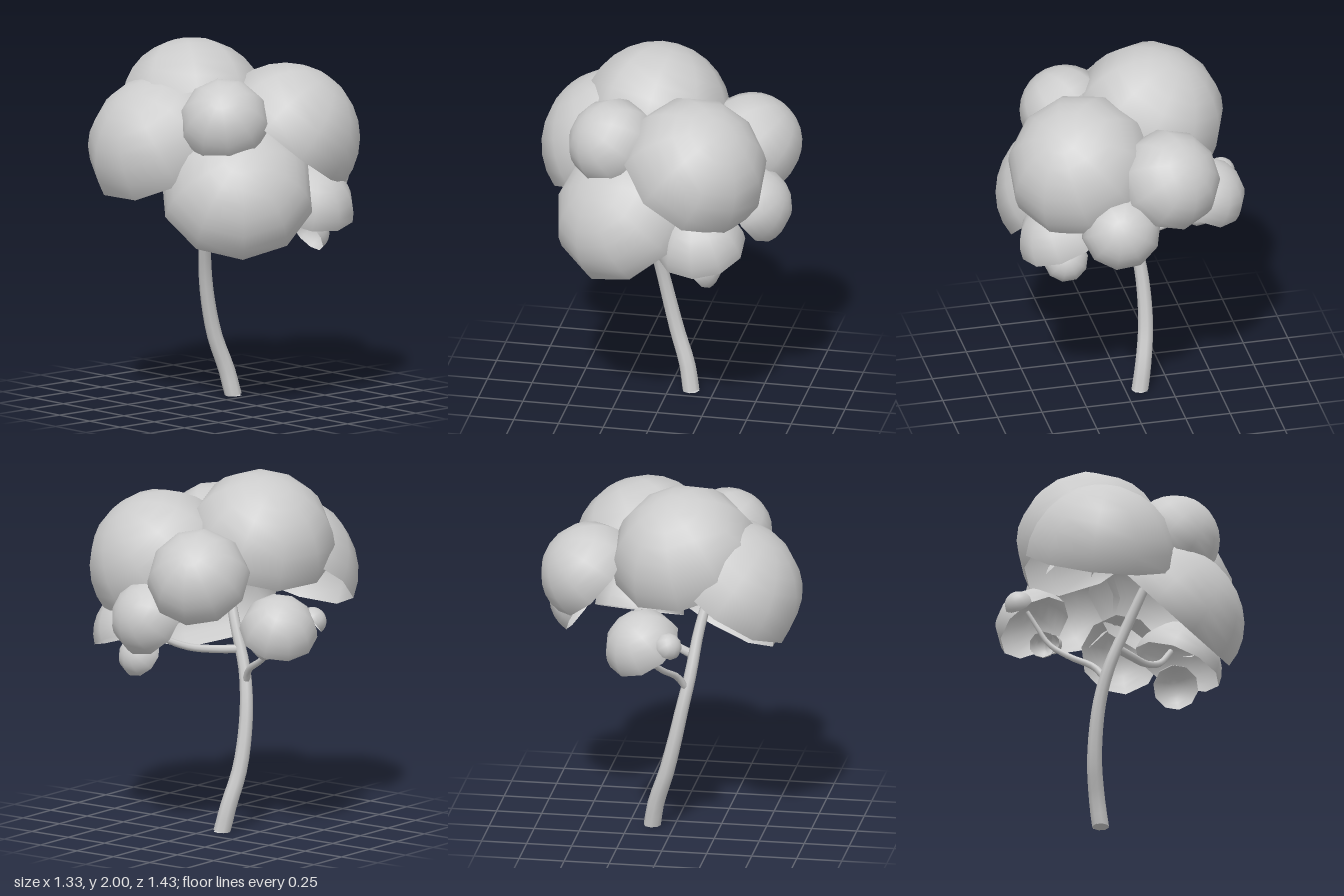
import * as THREE from 'three';

const material = new THREE.MeshStandardMaterial({ color: 0xcccccc, side: THREE.DoubleSide });
const UP = new THREE.Vector3(0, 1, 0);

// Open dome of leaves, its crown pointing along the given axis; depth is its height over its radius
function foliage(name, radius, centre, axis, depth = 1, twist = 0) {
  const geometry = new THREE.SphereGeometry(radius, 10, 7, 0, Math.PI * 2, 0, Math.PI / 2);
  geometry.rotateY(twist).scale(1, depth, 1);
  const mesh = new THREE.Mesh(geometry, material);
  mesh.name = name;
  mesh.position.set(...centre);
  mesh.quaternion.setFromUnitVectors(UP, new THREE.Vector3(...axis).normalize());
  return mesh;
}

// Curved limb that tapers from r0 to r1 along its path
function limb(name, points, r0, r1, rings = 16, sides = 8) {
  const curve = new THREE.CatmullRomCurve3(points.map((p) => new THREE.Vector3(...p)));
  const geometry = new THREE.TubeGeometry(curve, rings, 1, sides, false);
  const position = geometry.attributes.position;
  const v = new THREE.Vector3();
  for (let i = 0; i < position.count; i++) {
    const t = Math.floor(i / (sides + 1)) / rings;
    const c = curve.getPointAt(t);
    v.fromBufferAttribute(position, i).sub(c).multiplyScalar(r0 + (r1 - r0) * t).add(c);
    position.setXYZ(i, v.x, Math.max(v.y, 0), v.z);
  }
  const mesh = new THREE.Mesh(geometry, material);
  mesh.name = name;
  return mesh;
}

export function createModel() {
  const tree = new THREE.Group();
  tree.name = 'tree';

  // Trunk and the disc closing its foot
  tree.add(limb('trunk', [
    [-0.081, 0, -0.122], [-0.105, 0.14, -0.097], [-0.133, 0.33, -0.035], [-0.135, 0.52, 0.012],
    [-0.118, 0.7, 0.05], [-0.075, 0.88, 0.088], [0.01, 1.1, 0.12], [0.1, 1.32, 0.17],
  ], 0.048, 0.026, 20));
  const foot = new THREE.Mesh(new THREE.CircleGeometry(0.047, 8), material);
  foot.name = 'trunkFoot';
  foot.rotation.x = Math.PI / 2;
  foot.position.set(-0.081, 0.001, -0.122);
  tree.add(foot);

  // Side branches
  tree.add(limb('rightBranch', [
    [-0.1, 0.81, 0.07], [-0.15, 0.89, 0.03], [-0.28, 0.97, -0.03],
    [-0.38, 1.05, -0.07], [-0.45, 1.16, -0.08], [-0.5, 1.24, -0.08],
  ], 0.02, 0.012));
  tree.add(limb('leftBranch', [
    [-0.03, 0.98, 0.1], [0.06, 0.98, 0.02], [0.17, 1.0, -0.1],
    [0.27, 1.06, -0.2], [0.34, 1.16, -0.25],
  ], 0.025, 0.016));

  // Large crown domes
  const crown = new THREE.Group();
  crown.name = 'crown';
  crown.add(
    foliage('topFoliage', 0.415, [-0.178, 1.585, 0.09], [-0.4, 0.88, -0.2]),
    foliage('frontFoliage', 0.42, [-0.17, 1.405, 0.305], [-0.02, 0.82, 0.57]),
    foliage('frontLeftFoliage', 0.425, [0.257, 1.195, 0.15], [0.58, 0.67, 0.445], 0.87),
    foliage('backLeftFoliage', 0.41, [0.262, 1.475, -0.2], [0.4, 0.78, -0.48], 1, Math.PI / 20),
    foliage('backFoliage', 0.285, [-0.165, 1.475, -0.44], [-0.3, 0.65, -0.7]),
    foliage('smallFrontFoliage', 0.25, [0.255, 1.6, 0.24], [0.5, 0.65, 0.55]),
    foliage('lowerBackFoliage', 0.22, [0.115, 1.235, -0.505], [0.15, 0.5, -0.85]),
  );
  tree.add(crown);

  // Small domes on the side branches
  const tufts = new THREE.Group();
  tufts.name = 'branchFoliage';
  tufts.add(
    foliage('leftTuft', 0.25, [0.38, 1.08, -0.27], [0.36, 0.92, 0.06]),
    foliage('lowLeftTuft', 0.125, [0.37, 0.95, -0.26], [0.1, 0.55, -0.83]),
    foliage('rightTuft', 0.215, [-0.455, 1.16, -0.105], [-0.42, 0.8, -0.38]),
    foliage('frontRightTuft', 0.078, [-0.575, 1.215, 0.045], [-0.5, 0.6, 0.6]),
    foliage('innerTuft', 0.075, [-0.4, 1.08, -0.14], [0.3, 0.1, -0.9]),
    foliage('innerTuftSmall', 0.055, [-0.35, 1.08, -0.13], [0.8, 0.1, -0.5]),
  );
  tree.add(tufts);

  return tree;
}
